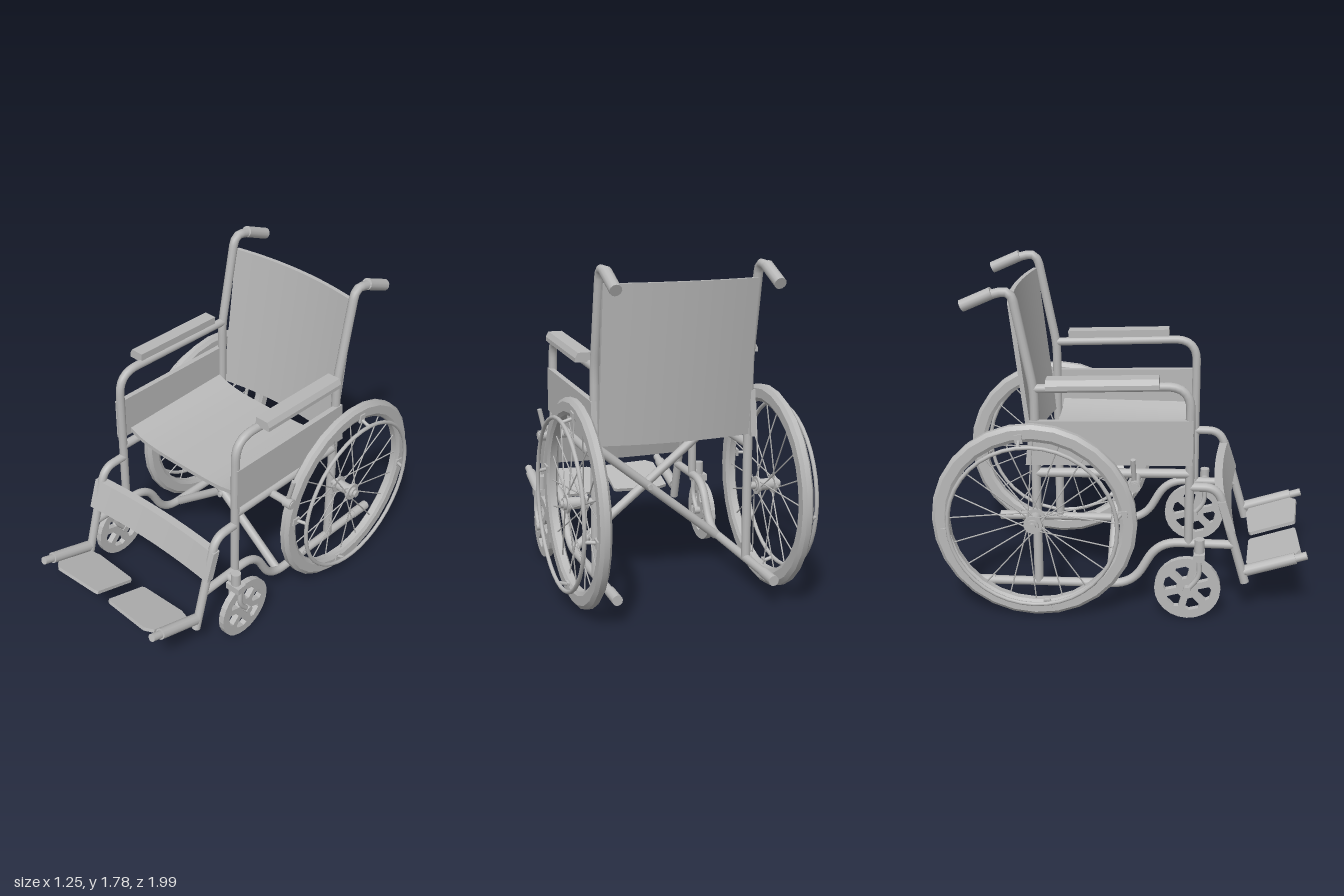
import * as THREE from 'three';
import { mergeGeometries, toCreasedNormals } from 'three/addons/utils/BufferGeometryUtils.js';

const V = (x, y, z) => new THREE.Vector3(x, y, z);

export function createModel() {
  const model = new THREE.Group();
  model.name = 'wheelchair';
  const grey = new THREE.MeshStandardMaterial({ color: 0xb8b8b8 });
  grey.name = 'plain grey';

  function add(name, geometry, parent = model) {
    const mesh = new THREE.Mesh(geometry, grey);
    mesh.name = name;
    parent.add(mesh);
    return mesh;
  }

  // Straight capped cylinder between two points
  function rod(a, b, r, sides = 12) {
    const dir = b.clone().sub(a);
    const g = new THREE.CylinderGeometry(r, r, dir.length(), sides);
    g.applyQuaternion(new THREE.Quaternion().setFromUnitVectors(V(0, 1, 0), dir.clone().normalize()));
    return g.translate((a.x + b.x) / 2, (a.y + b.y) / 2, (a.z + b.z) / 2);
  }

  // Bent tube through points, with rounded corners and closed ends
  function bentTube(points, r, bend = 0.08) {
    const path = new THREE.CurvePath();
    let from = points[0];
    for (let i = 1; i < points.length - 1; i++) {
      const p = points[i];
      const cut = (q) => p.clone().lerp(q, Math.min(0.48, bend / p.distanceTo(q)));
      const start = cut(points[i - 1]), end = cut(points[i + 1]);
      path.add(new THREE.LineCurve3(from, start));
      path.add(new THREE.QuadraticBezierCurve3(start, p, end));
      from = end;
    }
    path.add(new THREE.LineCurve3(from, points[points.length - 1]));
    const parts = [new THREE.TubeGeometry(path, 56, r, 12)];
    for (const t of [0, 1]) {
      const out = path.getTangentAt(t).multiplyScalar(t ? 1 : -1);
      const cap = new THREE.CircleGeometry(r, 12);
      cap.applyQuaternion(new THREE.Quaternion().setFromUnitVectors(V(0, 0, 1), out));
      const p = path.getPointAt(t);
      parts.push(cap.translate(p.x, p.y, p.z));
    }
    return mergeGeometries(parts);
  }

  // Box subdivided across its width and bent by a rule
  function bentPanel(w, h, d, rule) {
    const g = new THREE.BoxGeometry(w, h, d, 12, 1, 1);
    const pos = g.attributes.position, v = V(0, 0, 0);
    for (let i = 0; i < pos.count; i++) {
      rule(v.fromBufferAttribute(pos, i));
      pos.setXYZ(i, v.x, v.y, v.z);
    }
    g.computeVertexNormals();
    return g;
  }

  const shapeOf = (pts) => new THREE.Shape(pts.map(([x, y]) => new THREE.Vector2(x, y)));
  const polar = (r, a) => [r * Math.cos(a), r * Math.sin(a)];

  // Sling seat, backrest and calf strap
  add('seat', bentPanel(0.82, 0.024, 0.72, (v) => {
    v.y += 0.903 - 0.047 * (1 - (v.x / 0.41) ** 4);
    v.z -= 0.05;
  }));
  add('backrest', bentPanel(0.83, 0.84, 0.024, (v) => {
    v.z -= 0.515 + v.y * 0.115 + 0.045 * (1 - (v.x / 0.415) ** 2);
    v.y += 1.27;
  }));
  add('calfStrap', bentPanel(0.91, 0.165, 0.045, (v) => {
    v.z += 0.558 - v.y * 0.32 - 0.025 * (1 - (v.x / 0.455) ** 2);
    v.y += 0.583;
  }));

  // Folding cross brace and its pivot
  add('crossBraceRear', rod(V(0.41, 0.82, -0.06), V(-0.41, 0.16, -0.06), 0.025));
  add('crossBraceFront', rod(V(-0.41, 0.82, -0.01), V(0.41, 0.16, -0.01), 0.025));
  add('bracePivot', rod(V(0, 0.49, -0.1), V(0, 0.49, 0.03), 0.015));

  // Large wheel, axis along x, built around its own centre
  function bigWheel(s) {
    const wheel = new THREE.Group();
    wheel.name = 'driveWheel';
    wheel.position.set(s * 0.53, 0.555, -0.45);
    const profile = [[0.455, -0.018], [0.475, -0.03], [0.525, -0.03], [0.545, -0.014], [0.545, 0.014],
      [0.525, 0.03], [0.475, 0.03], [0.455, 0.018], [0.455, -0.018]].map(([r, y]) => new THREE.Vector2(r, y));
    const tyre = new THREE.LatheGeometry(profile, 28).rotateZ(-Math.PI / 2);
    add('tyre', toCreasedNormals(tyre, 0.5), wheel);
    add('handRim', new THREE.TorusGeometry(0.447, 0.011, 8, 40).rotateY(Math.PI / 2).translate(s * 0.086, 0, 0), wheel);
    // Hub with two flanges
    add('hub', rod(V(-s * 0.06, 0, 0), V(s * 0.07, 0, 0), 0.032, 16), wheel);
    for (const x of [-0.055, 0.04]) add('hubFlange', rod(V(x * s, 0, 0), V((x + 0.015) * s, 0, 0), 0.05, 16), wheel);
    add('axle', rod(V(-s * 0.11, 0, 0), V(s * 0.085, 0, 0), 0.02), wheel);
    // Spokes lean to alternate flanges
    const spokes = [];
    for (let i = 0; i < 20; i++) {
      const a = (i / 20) * Math.PI * 2;
      const [z0, y0] = polar(0.042, a + (i % 4 < 2 ? 0.7 : -0.7));
      const [z1, y1] = polar(0.465, a);
      spokes.push(rod(V((i % 2 ? 0.045 : -0.045) * s, y0, z0), V(0, y1, z1), 0.004, 5));
    }
    add('spokes', mergeGeometries(spokes), wheel);
    // Clips holding the hand rim
    for (let i = 0; i < 4; i++) {
      const clip = new THREE.Group();
      clip.name = 'rimClip';
      clip.rotation.x = -0.14 + i * Math.PI / 2;
      add('clipFoot', new THREE.BoxGeometry(0.012, 0.05, 0.04).translate(s * 0.032, 0.475, 0), clip);
      add('clipArm', rod(V(s * 0.03, 0.465, 0), V(s * 0.086, 0.447, 0), 0.01, 8), clip);
      wheel.add(clip);
    }
    model.add(wheel);
  }

  // Small front wheel with six openings, and its fork
  function caster(s) {
    const group = new THREE.Group();
    group.name = 'caster';
    const rim = shapeOf(Array.from({ length: 24 }, (_, i) => polar(0.177, i * Math.PI / 12)));
    for (let i = 0; i < 6; i++) {
      const a = i * Math.PI / 3 + 0.25;
      rim.holes.push(new THREE.Path([[0.06, -0.22], [0.118, -0.36], [0.13, -0.2], [0.13, 0.2], [0.118, 0.36], [0.06, 0.22]]
        .map(([r, d]) => new THREE.Vector2(...polar(r, a + d)))));
    }
    const disc = new THREE.ExtrudeGeometry(rim, { depth: 0.034, bevelEnabled: false });
    add('casterWheel', disc.translate(0, 0, -0.017).rotateY(Math.PI / 2).translate(s * 0.49, 0.18, 0.36), group);
    add('casterHub', rod(V(s * 0.44, 0.18, 0.36), V(s * 0.54, 0.18, 0.36), 0.022), group);
    for (const dx of [-0.032, 0.032]) {
      const x = s * 0.49 + dx;
      add('forkArm', bentTube([V(x, 0.36, 0.42), V(x, 0.26, 0.425), V(x, 0.18, 0.36)], 0.014), group);
    }
    add('forkCrown', new THREE.BoxGeometry(0.092, 0.04, 0.06).translate(s * 0.49, 0.37, 0.42), group);
    add('forkStem', rod(V(s * 0.49, 0.35, 0.42), V(s * 0.49, 0.465, 0.42), 0.027), group);
    add('stemBracket', rod(V(s * 0.425, 0.41, 0.42), V(s * 0.49, 0.41, 0.42), 0.022), group);
    model.add(group);
  }

  for (const s of [1, -1]) {
    const X = s * 0.425;
    const P = (y, z) => V(X, y, z);

    // Tubular side frame
    add('backPost', bentTube([P(0.15, -0.45), P(1.24, -0.45), P(1.775, -0.555), P(1.745, -0.67)], 0.025, 0.07));
    add('pushGrip', rod(P(1.757, -0.65), P(1.685, -0.81), 0.032));
    add('armTube', bentTube([P(1.255, -0.45), P(1.29, 0.36), P(0.41, 0.36)], 0.024, 0.13));
    add('seatRail', rod(P(0.79, -0.45), P(0.81, 0.36), 0.025));
    add('lowerTube', bentTube([P(0.41, 0.6), P(0.41, 0.2), P(0.155, 0.06), P(0.145, -0.76)], 0.024, 0.11));
    add('tipperEnd', rod(P(0.147, -0.69), P(0.143, -0.815), 0.028));

    // Armrest pad and side panel
    const pad = shapeOf([[s * 0.415, 0], [s * 0.505, 0], [s * 0.505, 0.022], [s * 0.49, 0.05], [s * 0.415, 0.05]]);
    const padGeo = new THREE.ExtrudeGeometry(pad, { depth: 0.58, bevelEnabled: false });
    add('armrestPad', padGeo.translate(0, 0, -0.29).rotateX(-0.04).translate(0, 1.283, -0.09));
    const side = shapeOf([[0.375, 0.865], [0.375, 1.11], [-0.475, 1.085], [-0.5, 0.84]].map(([z, y]) => [-z, y]));
    const sideGeo = new THREE.ExtrudeGeometry(side, { depth: 0.03, bevelEnabled: false });
    add('sidePanel', sideGeo.translate(0, 0, -0.015).rotateY(Math.PI / 2).translate(s * 0.438, 0, 0));

    // Brake
    add('brakeBar', rod(V(s * 0.43, 0.79, 0.085), V(s * 0.59, 0.79, 0.085), 0.022));
    add('brakeKnob', rod(V(s * 0.535, 0.79, 0.085), V(s * 0.585, 0.79, 0.085), 0.03));
    add('brakeLever', rod(V(s * 0.545, 0.79, 0.08), V(s * 0.58, 0.94, 0.075), 0.013));

    // Footrest hanger and footplate
    add('footHanger', bentTube([P(0.735, 0.36), P(0.735, 0.51), P(0.19, 0.665)], 0.024, 0.08));
    add('footBar', rod(P(0.25, 0.65), P(0.362, 0.99), 0.022));
    add('footBarSleeve', rod(P(0.26, 0.67), P(0.344, 0.93), 0.031));
    const plate = shapeOf([[0.38, -0.13], [0.325, -0.148], [0.06, -0.135], [0.042, -0.125], [0.042, 0.13],
      [0.06, 0.138], [0.335, 0.155], [0.38, 0.12]].map(([x, z]) => [s * x, z]));
    const plateGeo = new THREE.ExtrudeGeometry(plate, { depth: 0.02, bevelEnabled: false });
    add('footplate', plateGeo.rotateX(Math.PI / 2).translate(0, 0.01, 0).rotateX(-0.32).translate(0, 0.295, 0.815));

    bigWheel(s);
    caster(s);
  }
  return model;
}
